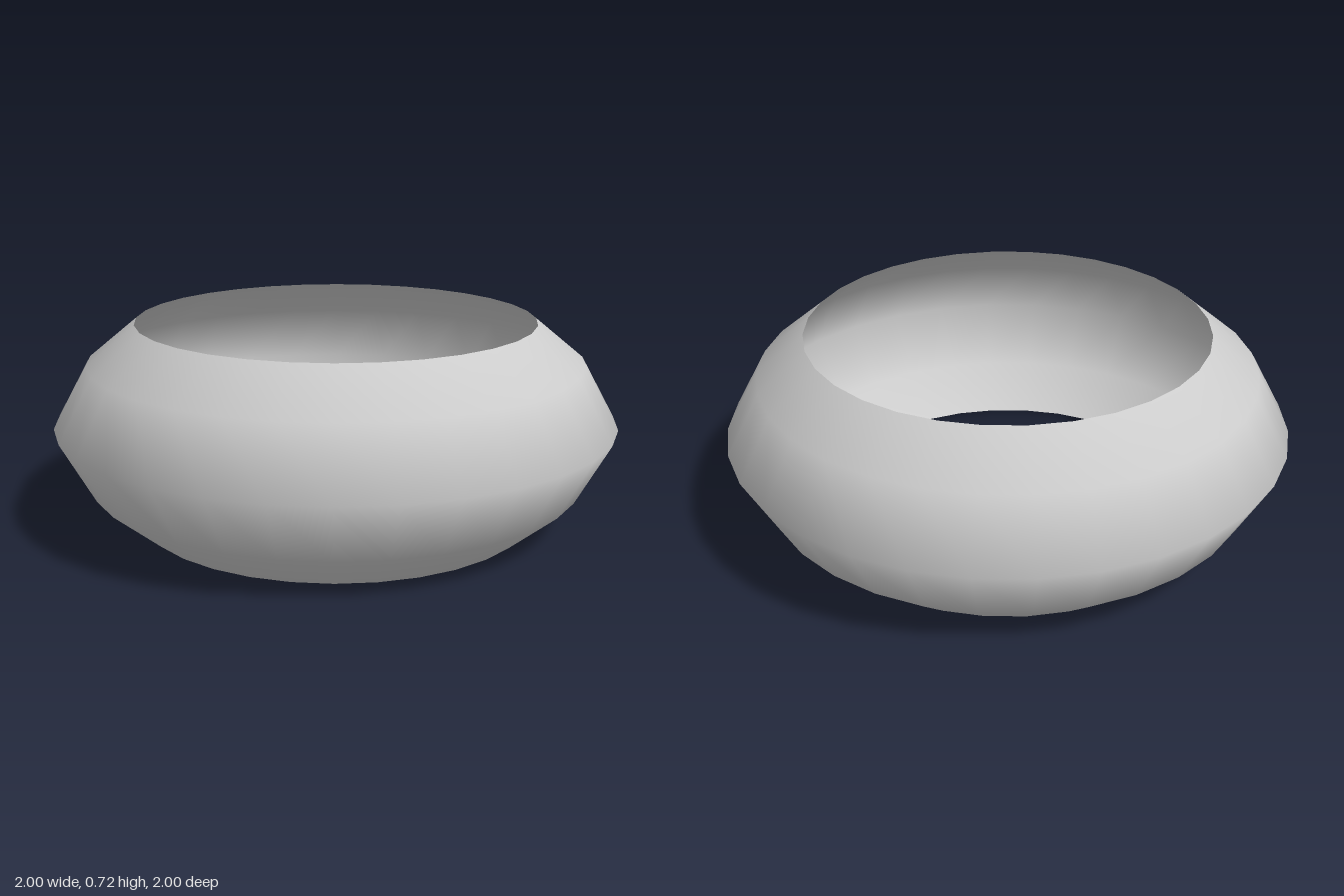
import * as THREE from 'three';

export function createModel() {
  const group = new THREE.Group();
  group.name = 'ring';

  // Thin open band: a bulging profile turned around the y axis, bottom rim to top rim
  const profile = [
    [0.71, 0], [0.88, 0.14], [1, 0.358], [0.88, 0.576], [0.71, 0.716],
  ].map(([r, y]) => new THREE.Vector2(r, y));

  const band = new THREE.Mesh(
    new THREE.LatheGeometry(profile, 32),
    new THREE.MeshStandardMaterial({ color: 0xcccccc, side: THREE.DoubleSide }),
  );
  band.name = 'bulgingBand';
  group.add(band);
  return group;
}
